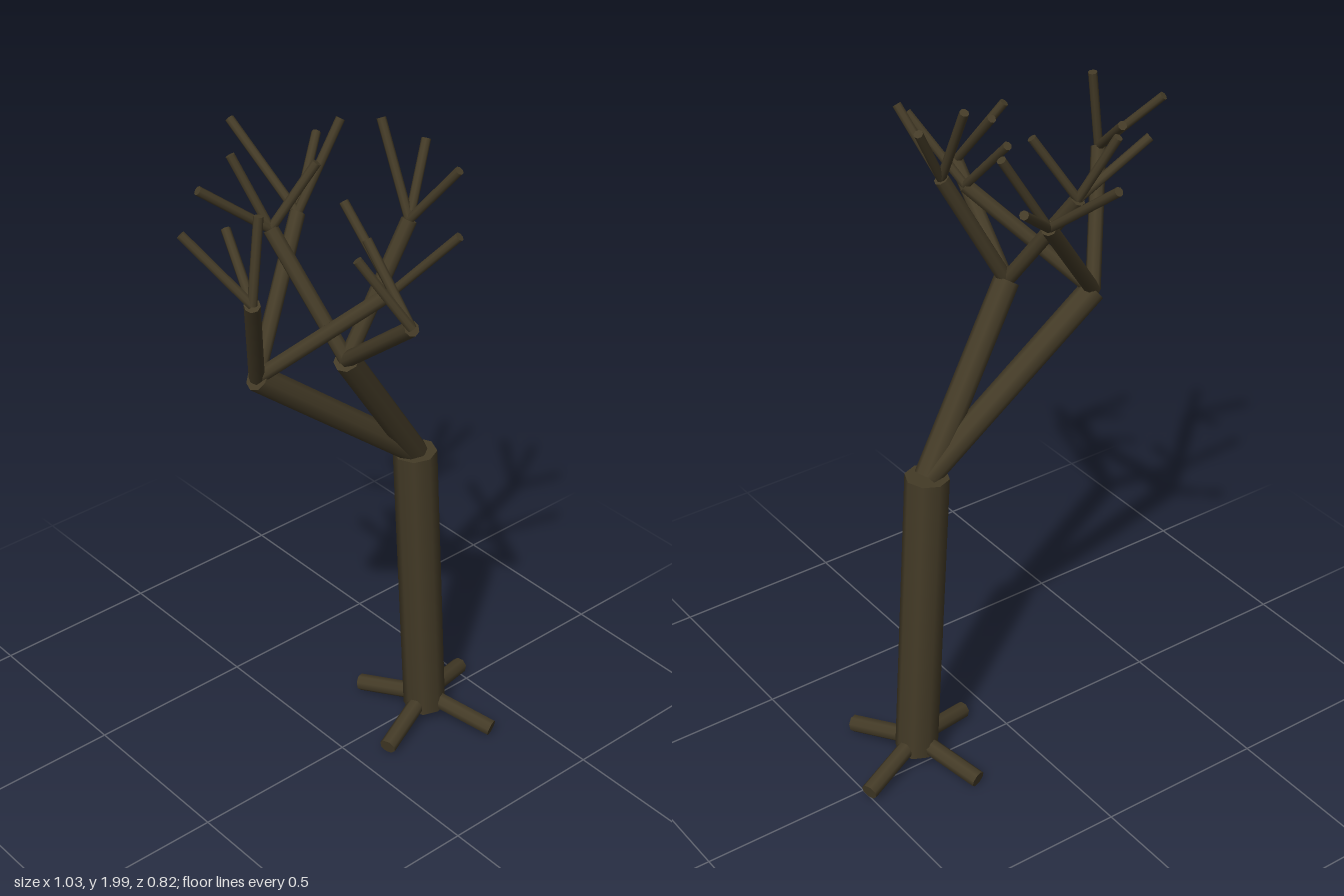
import * as THREE from 'three';

export function createModel() {
  const tree = new THREE.Group();
  tree.name = 'bareTree';
  const bark = new THREE.MeshStandardMaterial({ color: 0x443b27 });
  bark.name = 'darkBark';
  const up = new THREE.Vector3(0, 1, 0);

  // Straight limb between two points
  function limb(name, from, to, radius, parent = tree) {
    const a = new THREE.Vector3(...from);
    const dir = new THREE.Vector3(...to).sub(a);
    const mesh = new THREE.Mesh(new THREE.CylinderGeometry(radius, radius, dir.length(), 8), bark);
    mesh.position.copy(a).addScaledVector(dir, 0.5);
    mesh.quaternion.setFromUnitVectors(up, dir.normalize());
    mesh.name = name;
    parent.add(mesh);
  }

  // Trunk
  const trunkTop = [0.243, 0.965, 0.025];
  limb('trunk', [0.295, 0.05, 0.033], trunkTop, 0.062);

  // Roots spread in a cross around the foot
  const roots = [[0.505, -0.04], [0.225, -0.175], [0.085, 0.105], [0.375, 0.24]];
  for (const [x, z] of roots) limb('root', [0.295, 0.085, 0.033], [x, 0.035, z], 0.025);

  // Two boughs, each with branches that carry twigs
  const boughs = [
    {
      end: [-0.275, 1.385, -0.015],
      branches: [
        { end: [-0.405, 1.71, 0.14], twigs: [[-0.507, 1.88, 0], [-0.372, 1.935, 0.13], [-0.36, 1.84, -0.015]] },
        { end: [-0.04, 1.66, 0.24], twigs: [[0.045, 1.84, 0.383], [-0.047, 1.84, 0.06]] },
        { end: [-0.012, 1.71, -0.165], twigs: [[-0.04, 1.9, -0.405], [0.153, 1.845, -0.285], [0.13, 1.935, -0.16]] },
      ],
    },
    {
      end: [-0.08, 1.42, 0.11],
      branches: [
        { end: [-0.145, 1.73, -0.11], twigs: [[-0.328, 1.875, -0.167], [-0.2, 1.92, -0.198], [-0.042, 1.905, -0.05]] },
        { end: [0.11, 1.765, 0.13], twigs: [[0.123, 1.997, 0.005], [0.155, 1.935, 0.26], [0.213, 1.938, 0.075]] },
        { end: [-0.117, 1.65, 0.395], twigs: [[-0.21, 1.83, 0.3], [-0.123, 1.83, 0.235]] },
      ],
    },
  ];
  for (const bough of boughs) {
    const crown = new THREE.Group();
    crown.name = 'boughWithBranches';
    tree.add(crown);
    limb('bough', trunkTop, bough.end, 0.036, crown);
    for (const { end, twigs } of bough.branches) {
      limb('branch', bough.end, end, 0.021, crown);
      for (const tip of twigs) limb('twig', end, tip, 0.0125, crown);
    }
  }
  return tree;
}
